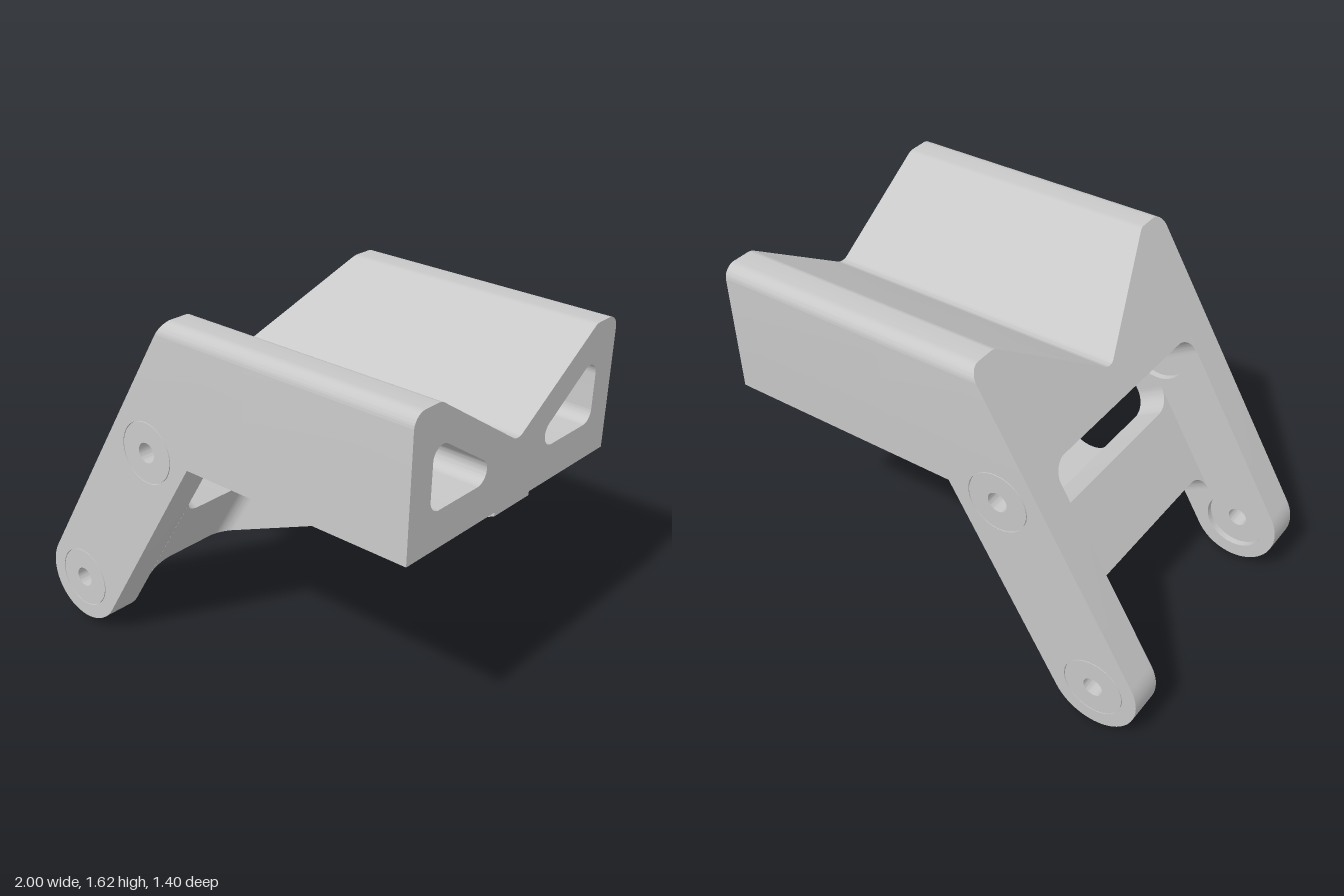
import * as THREE from 'three';
import { toCreasedNormals } from 'three/addons/utils/BufferGeometryUtils.js';

const TILT = 0.031;            // slight lean of the whole bracket about x
const HALF = 0.675, INNER = 0.52;
const FLOOR = 1.01, SPLIT = 1.16, TOP = 1.605;
const S = 0.5, C = Math.sqrt(3) / 2; // direction of the 60 degree legs
const slantX = (y) => -0.239 - (TOP - y) * S / C;

// Polygon of [x, y, cornerRadius] points with true arc corners
function rounded(points, target = new THREE.Shape()) {
  const n = points.length;
  points.forEach(([x, y, r], i) => {
    const p = new THREE.Vector2(x, y);
    if (!r) {
      if (i) target.lineTo(x, y); else target.moveTo(x, y);
      return;
    }
    const a = new THREE.Vector2(...points[(i + n - 1) % n].slice(0, 2)).sub(p).normalize();
    const b = new THREE.Vector2(...points[(i + 1) % n].slice(0, 2)).sub(p).normalize();
    const half = Math.acos(a.dot(b)) / 2;
    const c = a.clone().add(b).normalize().multiplyScalar(r / Math.sin(half)).add(p);
    const t = r / Math.tan(half);
    const s = a.clone().multiplyScalar(t).add(p);
    const e = b.clone().multiplyScalar(t).add(p);
    if (i) target.lineTo(s.x, s.y); else target.moveTo(s.x, s.y);
    target.absarc(c.x, c.y, r, Math.atan2(s.y - c.y, s.x - c.x),
      Math.atan2(e.y - c.y, e.x - c.x), a.cross(b) > 0);
  });
  target.closePath();
  return target;
}

const extrude = (shape, depth) =>
  new THREE.ExtrudeGeometry(shape, { depth, bevelEnabled: false, curveSegments: 16 });

// Move vertices by a rule
function reshape(geo, rule) {
  const p = geo.attributes.position, v = new THREE.Vector3();
  for (let i = 0; i < p.count; i++) {
    rule(v.fromBufferAttribute(p, i));
    p.setXYZ(i, v.x, v.y, v.z);
  }
  return geo;
}

export function createModel() {
  const metal = new THREE.MeshStandardMaterial({ color: 0xc8c8c8 });
  metal.name = 'grey metal';
  const body = new THREE.Group();
  body.name = 'bracket';
  const add = (name, geo) => {
    const mesh = new THREE.Mesh(toCreasedNormals(geo, 0.5), metal);
    mesh.name = name;
    body.add(mesh);
  };

  // V-topped block: solid slanted rear and front part with blind pockets
  const vSection = () => rounded([
    [-HALF, SPLIT], [HALF, SPLIT], [HALF, TOP, 0.06], [INNER, TOP, 0.06],
    [0, 1.275, 0.06], [-INNER, TOP, 0.06], [-HALF, TOP, 0.06],
  ]);
  const pocketStart = 0.2;
  const rear = extrude(vSection(), 1).rotateY(Math.PI / 2);
  add('vBlockRear', reshape(rear, (v) => { v.x = v.x < 0.5 ? slantX(v.y) : pocketStart; }));

  const frontShape = vSection();
  for (const side of [1, -1]) {
    frontShape.holes.push(rounded([
      [side * 0.55, 1.17, 0.055], [side * 0.55, 1.48, 0.055], [side * 0.067, 1.17, 0.055],
    ], new THREE.Path()));
  }
  add('vBlockFront', extrude(frontShape, 1 - pocketStart).rotateY(Math.PI / 2).translate(pocketStart, 0, 0));

  // Floor of the block between the side plates
  const floor = rounded([[-0.236, FLOOR], [1, FLOOR], [1, SPLIT], [slantX(SPLIT), SPLIT]]);
  add('blockFloor', extrude(floor, INNER * 2).translate(0, 0, -INNER));

  // Side plates with legs, holes and flush bushings
  const pivots = [[-0.795, 0.23], [-0.345, FLOOR]];
  const R = 0.205, bore = 0.14;
  const plate = new THREE.Shape();
  plate.moveTo(1, SPLIT);
  plate.lineTo(slantX(SPLIT), SPLIT);
  plate.absarc(pivots[0][0], pivots[0][1], R, Math.PI * 5 / 6, Math.PI * 11 / 6, false);
  plate.lineTo(-0.108, FLOOR);
  plate.lineTo(1, FLOOR);
  plate.closePath();
  for (const [x, y] of pivots) {
    plate.holes.push(new THREE.Path().absarc(x, y, bore, 0, Math.PI * 2, true));
  }
  const depth = HALF - INNER, len = depth - 0.03;
  const bushing = [
    [0.045, 0], [bore, 0], [bore, len - 0.01], [bore - 0.004, len - 0.01],
    [bore - 0.004, len], [0.045, len], [0.045, 0],
  ].map(([r, h]) => new THREE.Vector2(r, h));
  for (const side of [1, -1]) {
    const name = side > 0 ? 'front' : 'back';
    add(name + 'SidePlate', extrude(plate, depth).translate(0, 0, side > 0 ? INNER : -HALF));
    pivots.forEach(([x, y], i) => {
      const geo = new THREE.LatheGeometry(bushing, 40)
        .rotateX(side * Math.PI / 2).translate(x, y, side * (HALF - len));
      add(name + (i ? 'Upper' : 'Lower') + 'Bushing', geo);
    });
  }

  // Cross web between the legs, filleted into them
  const low = 0.27, high = 0.638, r = 0.09, k = INNER - r, t = 0.14;
  const web = new THREE.Shape();
  web.moveTo(-INNER, low - r);
  web.absarc(-k, low - r, r, Math.PI, Math.PI / 2, true);
  web.absarc(k, low - r, r, Math.PI / 2, 0, true);
  web.lineTo(INNER, high + r);
  web.absarc(k, high + r, r, 0, -Math.PI / 2, true);
  web.absarc(-k, high + r, r, -Math.PI / 2, -Math.PI, true);
  web.closePath();
  const along = new THREE.Vector3(S, C, 0), out = new THREE.Vector3(C, -S, 0);
  const zAxis = new THREE.Vector3(0, 0, 1);
  const origin = new THREE.Vector3(-0.617, 0.1275, 0);
  const slabFrame = (back) => new THREE.Matrix4()
    .makeBasis(zAxis.clone().negate(), along, out)
    .setPosition(origin.clone().addScaledVector(out, -back));
  add('crossWeb', extrude(web, t).applyMatrix4(slabFrame(t)));

  // Rounded upper corners of the recess behind the web
  const ceil = 0.955;
  const recess = new THREE.Shape();
  recess.moveTo(-INNER, ceil + 0.02);
  recess.lineTo(-INNER, ceil - r);
  recess.absarc(-k, ceil - r, r, Math.PI, Math.PI / 2, true);
  recess.absarc(k, ceil - r, r, Math.PI / 2, 0, true);
  recess.lineTo(INNER, ceil + 0.02);
  recess.closePath();
  add('recessCeiling', extrude(recess, R * 2 - t).applyMatrix4(slabFrame(R * 2)));

  // Central gusset with its open window
  const g = 0.12;
  const gusset = rounded([
    [-0.482, 0.361], [1, 0.993], [1, FLOOR + 0.005], [0.245, FLOOR + 0.005],
    [0.26, 0.92, 0.05], [-0.298, 0.68],
  ]);
  add('gusset', extrude(gusset, g * 2).translate(0, 0, -g));

  // Flared feet blending the gusset into the web and the block floor
  const f = 0.06;
  const foot = new THREE.Shape();
  foot.moveTo(-g - f, 0);
  foot.lineTo(g + f, 0);
  foot.absarc(g + f, f, f, -Math.PI / 2, -Math.PI, true);
  foot.lineTo(-g, f);
  foot.absarc(-g - f, f, f, 0, -Math.PI / 2, true);
  const webFoot = new THREE.Matrix4().makeBasis(zAxis, out, along)
    .setPosition(origin.clone().addScaledVector(along, low));
  add('gussetWebFoot', reshape(extrude(foot, high - low), (v) => { v.z += 1.333 * v.y; })
    .applyMatrix4(webFoot));
  const floorFoot = new THREE.Matrix4()
    .makeBasis(zAxis, new THREE.Vector3(0, -1, 0), new THREE.Vector3(1, 0, 0))
    .setPosition(0.25, FLOOR, 0);
  add('gussetFloorFoot', reshape(extrude(foot, 0.75), (v) => { if (v.z > 0.3) v.z -= v.y / 0.427; })
    .applyMatrix4(floorFoot));

  // Lean about the middle height
  body.rotation.x = -TILT;
  body.position.z = 0.815 * TILT;
  const model = new THREE.Group();
  model.name = 'angledBracket';
  model.add(body);
  return model;
}
